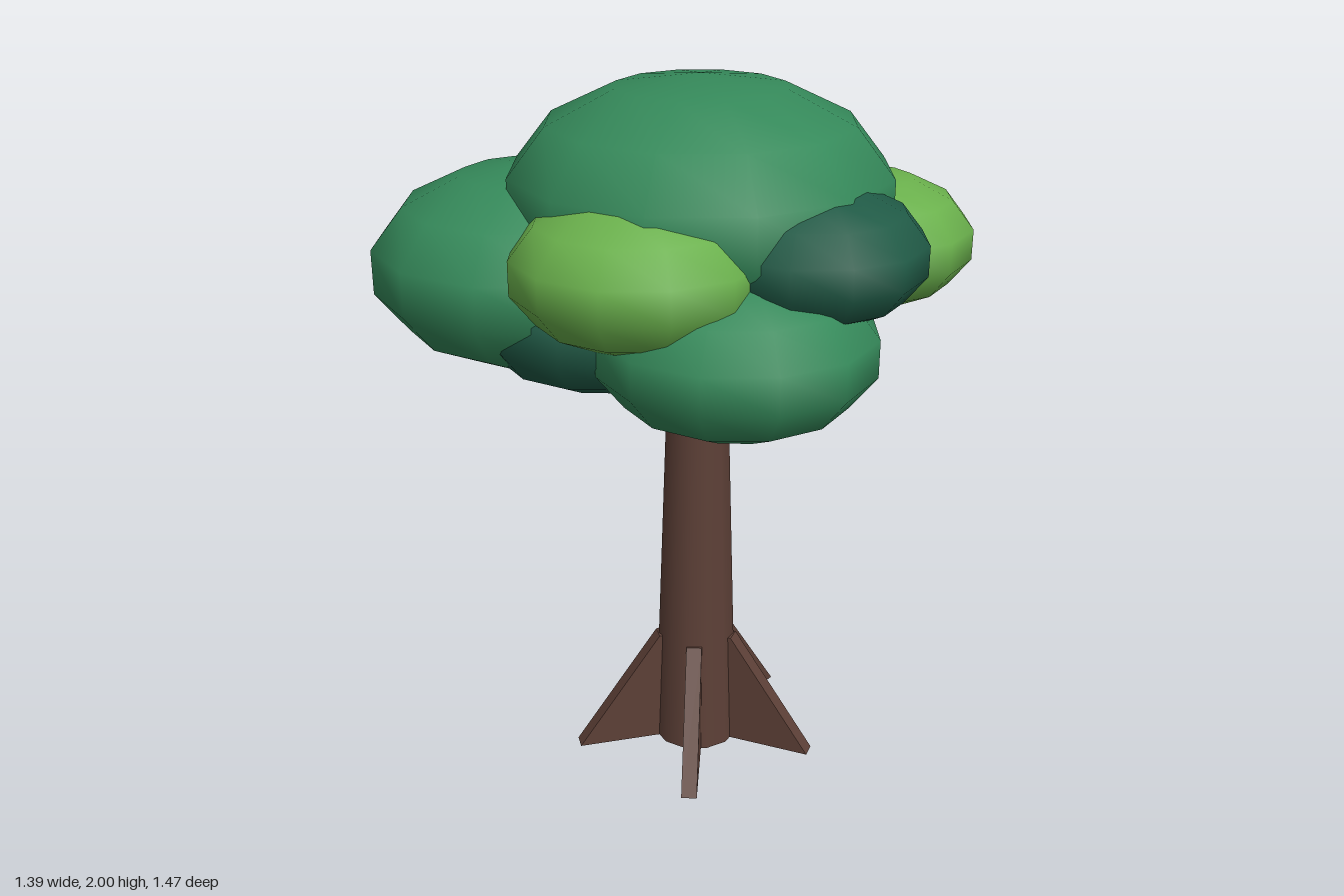
import * as THREE from 'three';

const makeMaterial = (name, color) => {
  const m = new THREE.MeshStandardMaterial({ color });
  m.name = name;
  return m;
};

export function createModel() {
  const bark = makeMaterial('bark brown', 0x5d4037);
  const midGreen = makeMaterial('leaf green', 0x35895a);
  const darkGreen = makeMaterial('dark leaf green', 0x205a46);
  const lightGreen = makeMaterial('light leaf green', 0x6ab04c);

  const tree = new THREE.Group();
  tree.name = 'tree';
  const add = (parent, name, geometry, material) => {
    const mesh = new THREE.Mesh(geometry, material);
    mesh.name = name;
    parent.add(mesh);
    return mesh;
  };

  // Woody parts share the trunk axis
  const wood = new THREE.Group();
  wood.name = 'wood';
  wood.position.set(0.025, 0, 0.06);
  tree.add(wood);

  // Tapered trunk, its top hidden in the foliage
  const trunkHeight = 1.5;
  add(wood, 'trunk', new THREE.CylinderGeometry(0.076, 0.127, trunkHeight, 12), bark)
    .position.y = trunkHeight / 2;

  // Five triangular buttress roots
  const thickness = 0.045;
  const fin = new THREE.Shape([
    new THREE.Vector2(0.06, 0),
    new THREE.Vector2(0.365, 0),
    new THREE.Vector2(0.118, 0.35),
    new THREE.Vector2(0.06, 0.35),
  ]);
  const rootGeometry = new THREE.ExtrudeGeometry(fin, { depth: thickness, bevelEnabled: false });
  rootGeometry.translate(0, 0, -thickness / 2);
  for (let i = 0; i < 5; i++) {
    const root = add(wood, 'root', rootGeometry, bark);
    root.rotation.y = -THREE.MathUtils.degToRad(66 + i * 72);
  }

  // Three branches rising at 45 degrees; the longest reaches the back foliage
  const up = new THREE.Vector3(0, 1, 0);
  [[-30, 0.46], [90, 0.3], [210, 0.3]].forEach(([degrees, length]) => {
    const a = THREE.MathUtils.degToRad(degrees);
    const dir = new THREE.Vector3(Math.cos(a), 1, Math.sin(a)).normalize();
    const geometry = new THREE.CylinderGeometry(0.016, 0.024, length, 8);
    geometry.translate(0, length / 2, 0);
    const branch = add(wood, 'branch', geometry, bark);
    branch.position.set(Math.cos(a) * 0.07, 1.1, Math.sin(a) * 0.07);
    branch.quaternion.setFromUnitVectors(up, dir);
  });

  // Flattened leaf clumps: name, material, centre x, y, z, radius
  const foliage = new THREE.Group();
  foliage.name = 'foliage';
  tree.add(foliage);
  const clumps = [
    ['crownClump', midGreen, 0.025, 1.683, 0.065, 0.528],
    ['backRightClump', midGreen, -0.25, 1.48, -0.29, 0.457],
    ['frontLowClump', midGreen, -0.13, 1.37, 0.35, 0.375],
    ['frontDarkClump', darkGreen, 0.05, 1.597, 0.44, 0.3],
    ['backLeftDarkClump', darkGreen, 0.29, 1.5, -0.215, 0.336],
    ['underDarkClump', darkGreen, -0.23, 1.39, -0.06, 0.34],
    ['frontRightLightClump', lightGreen, -0.3, 1.57, 0.175, 0.338],
    ['frontLeftLightClump', lightGreen, 0.39, 1.545, 0.32, 0.31],
    ['backLightClump', lightGreen, 0.07, 1.455, -0.297, 0.303],
  ];
  const clumpGeometry = new THREE.SphereGeometry(1, 12, 7);
  for (const [name, material, x, y, z, r] of clumps) {
    const clump = add(foliage, name, clumpGeometry, material);
    clump.position.set(x, y, z);
    clump.scale.set(r, r * 0.6, r);
  }

  return tree;
}
